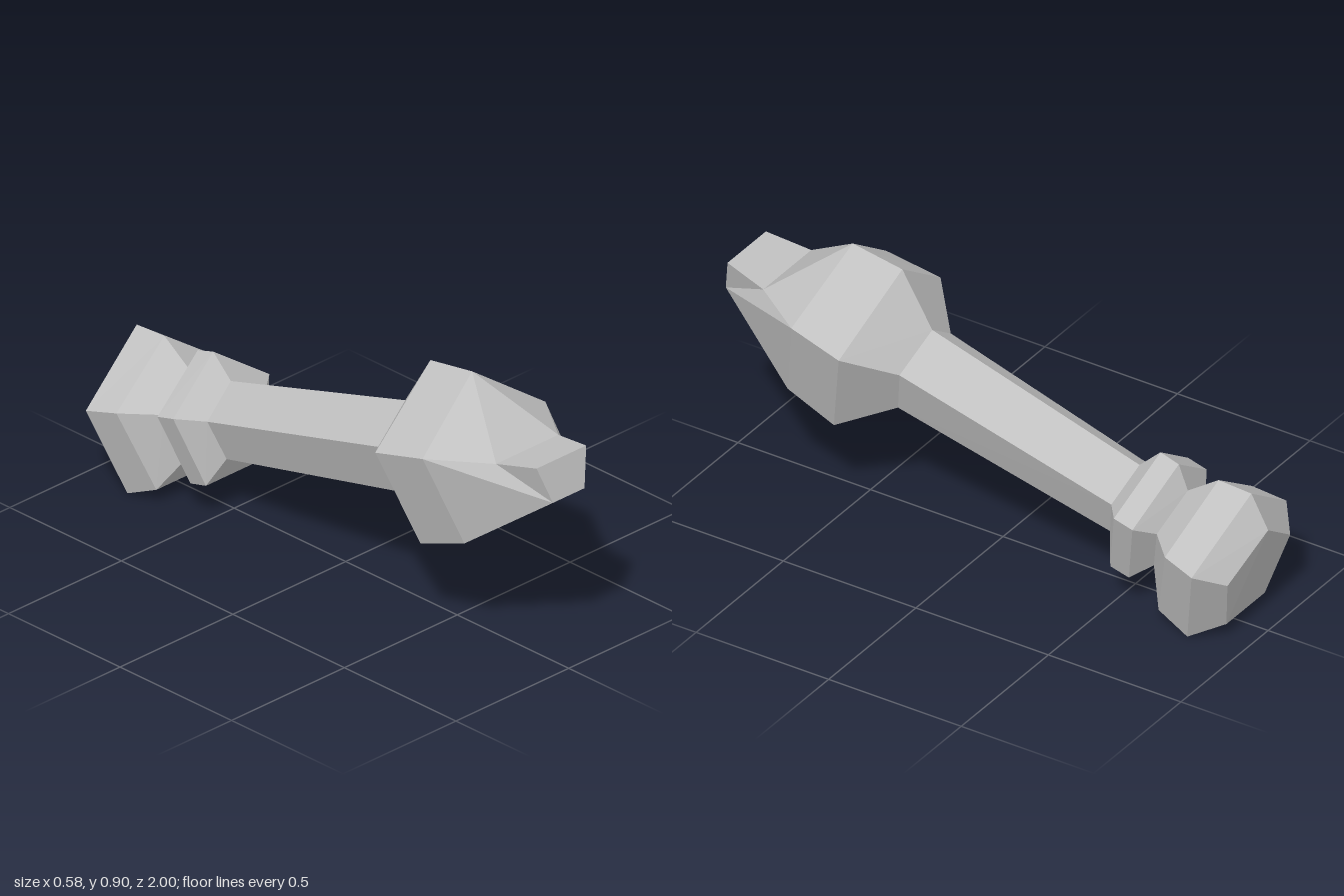
import * as THREE from 'three';

// Five-sided ring: ridge (yT, zT), side corners (±xS, yS, zS), bottom corners (±xB, yB, zB)
function ring(yT, zT, xS, yS, zS, xB, yB, zB) {
  return [[0, yT, zT], [xS, yS, zS], [xB, yB, zB], [-xB, yB, zB], [-xS, yS, zS]];
}

// Rings run from the back end to the front
const capEnd = ring(0.375, -1.0, 0.18, 0.25, -0.965, 0.11, 0.053, -0.915);
const knobBack = ring(0.49, -0.937, 0.272, 0.302, -0.89, 0.17, 0.0, -0.807);
const knobFront = ring(0.497, -0.813, 0.25, 0.328, -0.775, 0.157, 0.052, -0.69);
const neck = ring(0.417, -0.697, 0.14, 0.32, -0.672, 0.088, 0.16, -0.627);
const collarBack = ring(0.503, -0.663, 0.213, 0.358, -0.628, 0.133, 0.115, -0.562);
const collarFront = ring(0.524, -0.594, 0.213, 0.377, -0.558, 0.133, 0.133, -0.492);
const gripBack = ring(0.449, -0.515, 0.127, 0.36, -0.492, 0.078, 0.222, -0.455);
const gripFront = ring(0.679, 0.267, 0.147, 0.578, 0.294, 0.09, 0.412, 0.337);
const headBack = ring(0.866, 0.38, 0.292, 0.663, 0.428, 0.181, 0.331, 0.519);
const headFront = ring(0.897, 0.567, 0.272, 0.706, 0.62, 0.168, 0.396, 0.702);

// Add a convex polygon as a triangle fan
function addPolygon(out, points) {
  for (let i = 1; i < points.length - 1; i++) out.push(...points[0], ...points[i], ...points[i + 1]);
}

// Skin neighbouring rings
function addLoft(out, rings) {
  for (let r = 0; r < rings.length - 1; r++) {
    const a = rings[r], b = rings[r + 1];
    for (let i = 0; i < 5; i++) {
      const j = (i + 1) % 5;
      addPolygon(out, [a[i], b[i], b[j], a[j]]);
    }
  }
}

export function createModel() {
  const model = new THREE.Group();
  const grey = new THREE.MeshStandardMaterial({ color: 0xc0c0c0 });
  grey.name = 'grey';

  function addPart(name, triangles) {
    const geometry = new THREE.BufferGeometry();
    geometry.setAttribute('position', new THREE.Float32BufferAttribute(triangles, 3));
    geometry.computeVertexNormals();
    const mesh = new THREE.Mesh(geometry, grey);
    mesh.name = name;
    model.add(mesh);
  }

  // End knob with its closing face
  const knob = [];
  addLoft(knob, [capEnd, knobBack, knobFront, neck]);
  addPolygon(knob, capEnd);
  addPart('endKnob', knob);

  // Collar between knob and handle
  const collar = [];
  addLoft(collar, [neck, collarBack, collarFront, gripBack]);
  addPart('collar', collar);

  // Tapered handle
  const handle = [];
  addLoft(handle, [gripBack, gripFront]);
  addPart('handle', handle);

  // Head
  const head = [];
  addLoft(head, [gripFront, headBack, headFront]);
  addPart('head', head);

  // Pointed nose with a raised lip, mirrored left to right
  const flip = ([x, y, z]) => [-x, y, z];
  const [top, side, bottom] = headFront;
  const lipBack = [0.138, 0.712, 0.814];
  const lipFront = [0.11, 0.743, 0.967];
  const tip = [0.07, 0.618, 1.0];
  const nose = [];
  for (const face of [
    [top, lipBack, side],
    [lipBack, tip, side],
    [side, tip, bottom],
    [lipBack, lipFront, tip],
  ]) {
    addPolygon(nose, face);
    addPolygon(nose, face.map(flip).reverse());
  }
  addPolygon(nose, [top, flip(lipBack), lipBack]);
  addPolygon(nose, [tip, flip(tip), flip(bottom), bottom]);
  addPart('nose', nose);

  const lip = [];
  addPolygon(lip, [lipBack, flip(lipBack), flip(lipFront), lipFront]);
  addPolygon(lip, [lipFront, flip(lipFront), flip(tip), tip]);
  addPart('noseLip', lip);

  return model;
}
